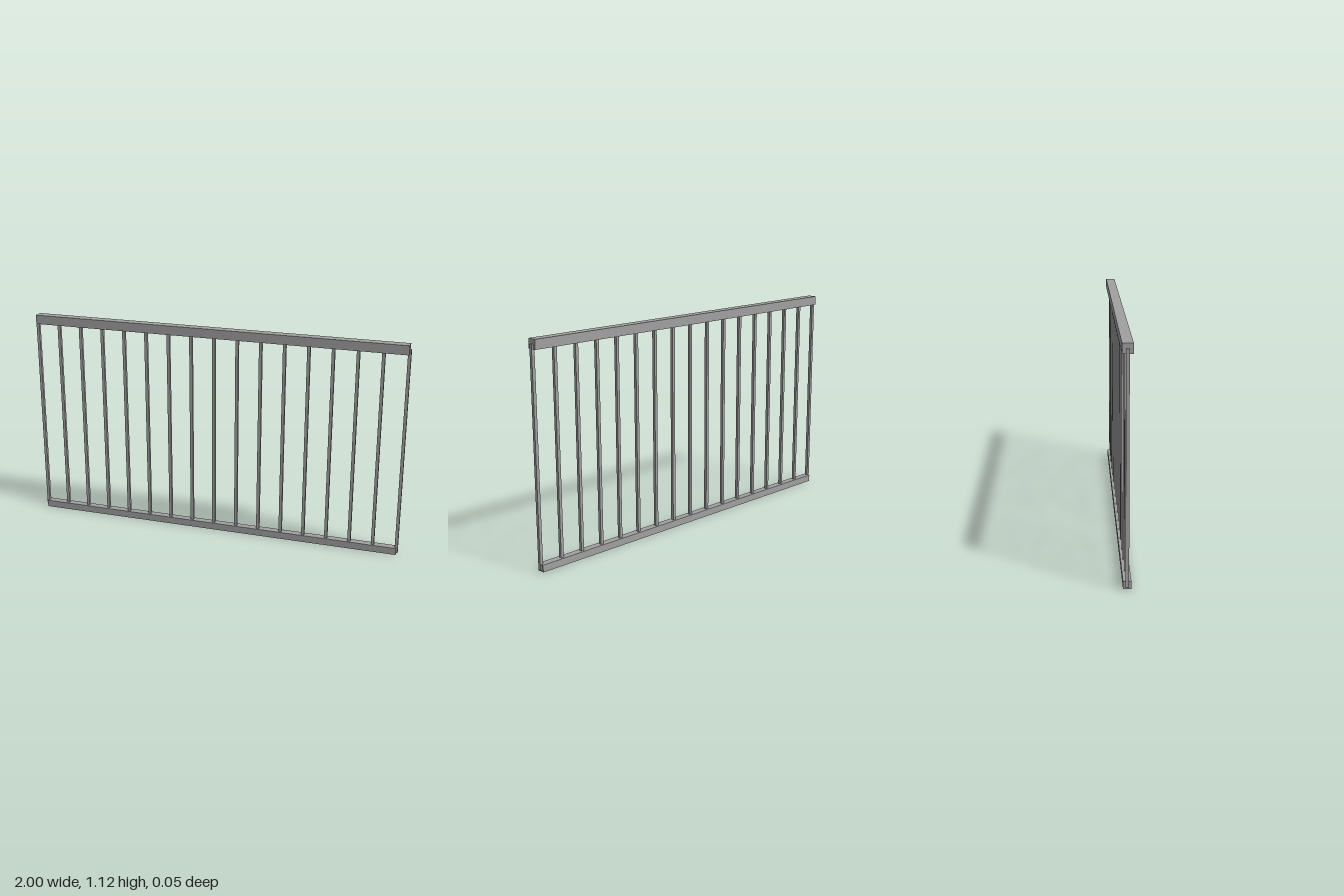
import * as THREE from 'three';

export function createModel() {
  const model = new THREE.Group();
  model.name = 'railing';
  const metal = new THREE.MeshStandardMaterial({ color: 0xa0a0a0 });
  metal.name = 'greyMetal';

  // Box spanning y0 to y1, centred on z = 0
  function bar(name, x, y0, y1, width, depth) {
    const mesh = new THREE.Mesh(new THREE.BoxGeometry(width, y1 - y0, depth), metal);
    mesh.name = name;
    mesh.position.set(x, (y0 + y1) / 2, 0);
    model.add(mesh);
  }

  // Horizontal rails, ending at the centres of the outer balusters
  const half = 0.992;
  bar('handrail', 0, 1.074, 1.122, half * 2, 0.05);
  bar('bottomRail', 0, 0, 0.037, half * 2, 0.038);

  // Evenly spaced square balusters
  const count = 17;
  for (let i = 0; i < count; i++) {
    const x = -half + (2 * half * i) / (count - 1);
    bar('baluster' + (i + 1), x, 0.008, 1.098, 0.016, 0.016);
  }
  return model;
}
